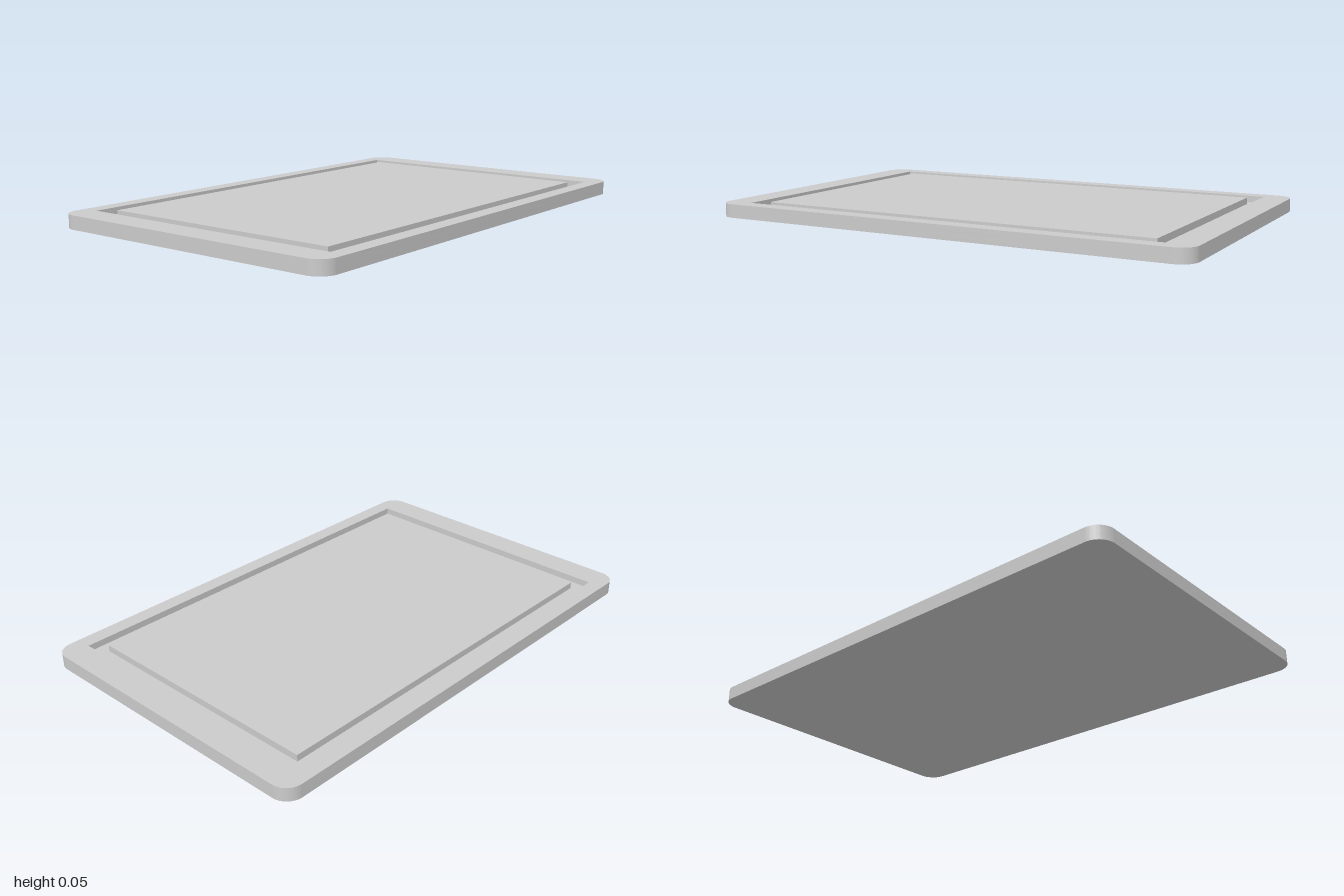
import * as THREE from 'three';
import { toCreasedNormals } from 'three/addons/utils/BufferGeometryUtils.js';

const W = 1.28, L = 2, H = 0.055, RADIUS = 0.07;
const FLOOR = 0.028;      // height of the groove floor
const GROOVE_Z = -0.0025; // centre of the groove along z

// Rounded rectangle outline; its y becomes -z once laid flat
function roundedRect(w, l, r) {
  const x = w / 2 - r, y = l / 2 - r;
  const s = new THREE.Shape();
  s.absarc(x, y, r, 0, Math.PI / 2);
  s.absarc(-x, y, r, Math.PI / 2, Math.PI);
  s.absarc(-x, -y, r, Math.PI, Math.PI * 1.5);
  s.absarc(x, -y, r, Math.PI * 1.5, Math.PI * 2);
  s.closePath();
  return s;
}

// Flat slab of a shape between two heights
function slab(shape, y0, y1) {
  const g = new THREE.ExtrudeGeometry(shape, { depth: y1 - y0, bevelEnabled: false, curveSegments: 10 });
  g.rotateX(-Math.PI / 2);
  g.translate(0, y0, 0);
  return toCreasedNormals(g, Math.PI / 6);
}

export function createModel() {
  const board = new THREE.Group();
  board.name = 'cuttingBoard';
  const material = new THREE.MeshStandardMaterial({ color: 0xcccccc });
  const add = (name, geometry) => {
    const mesh = new THREE.Mesh(geometry, material);
    mesh.name = name;
    board.add(mesh);
    return mesh;
  };

  // Solid base whose top is the groove floor
  add('base', slab(roundedRect(W, L, RADIUS), 0, FLOOR));

  // Raised rim with a square-cornered opening
  const rim = roundedRect(W, L, RADIUS);
  const hx = 0.575, hy = 0.8875, cy = -GROOVE_Z;
  rim.holes.push(new THREE.Path([
    new THREE.Vector2(-hx, cy - hy), new THREE.Vector2(-hx, cy + hy),
    new THREE.Vector2(hx, cy + hy), new THREE.Vector2(hx, cy - hy),
  ]));
  add('rim', slab(rim, FLOOR, H));

  // Cutting surface inside the groove
  const top = add('cuttingSurface', new THREE.BoxGeometry(1.04, H - FLOOR, 1.665));
  top.position.set(0, (H + FLOOR) / 2, GROOVE_Z);

  return board;
}
